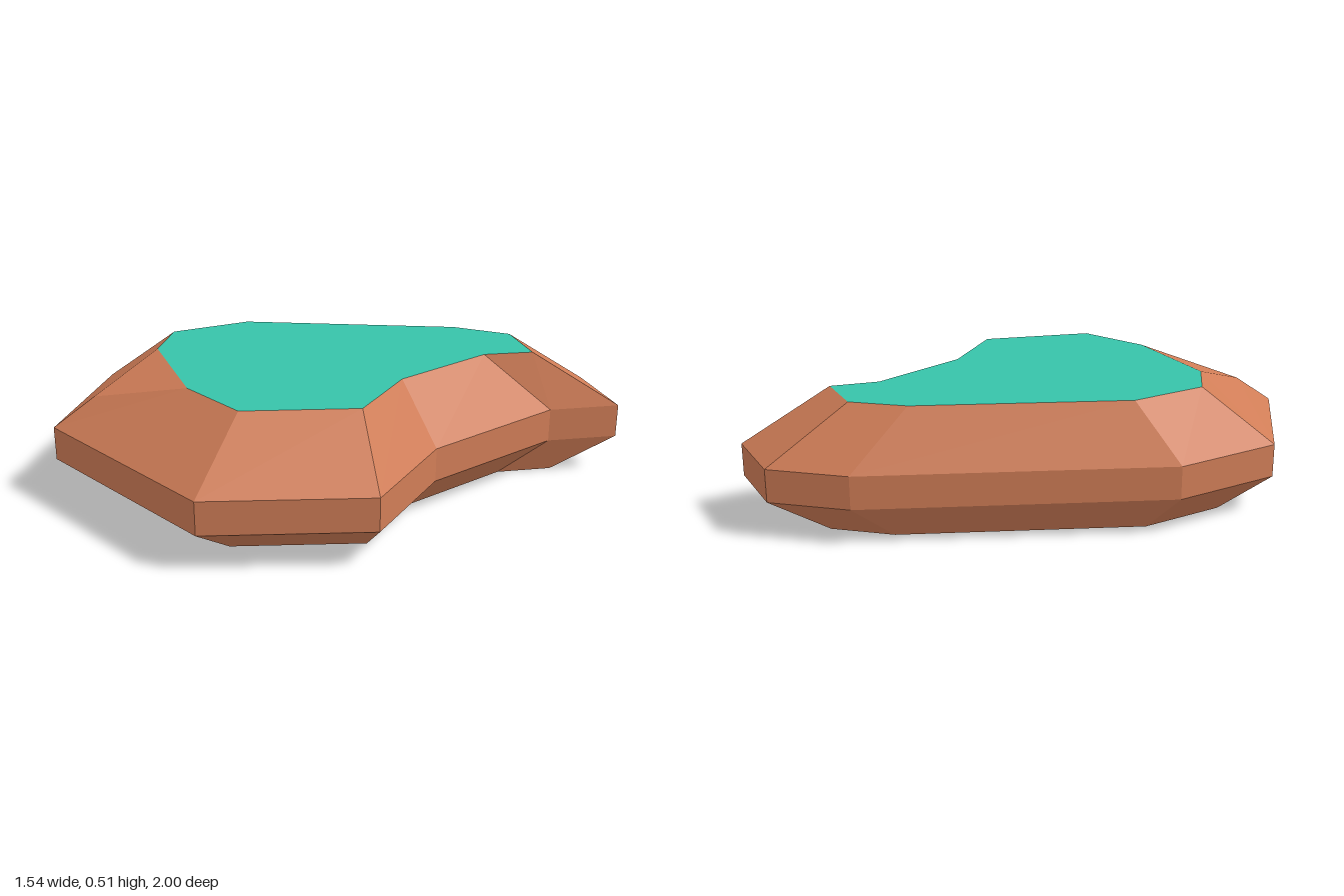
import * as THREE from 'three';

const BOTTOM = 0, LOW = 0.15, HIGH = 0.285, TOP = 0.51, FOOT_SCALE = 0.78;

// Plan outline as [x, z], clockwise seen from above
const OUTLINE = [
  [0.43, -1], [0.72, -0.91], [0.59, -0.66], [0.59, -0.065], [0.77, 0.345],
  [0.41, 0.88], [-0.43, 1], [-0.77, 0.565], [-0.66, 0.13], [0.15, -0.82],
];
// Matching corners of the plateau; the front left corner (null) is chipped off
const RIM = [
  [0.3, -0.695], [0.5, -0.63], [0.405, -0.46], [0.405, -0.045], [0.53, 0.24],
  [0.285, 0.61], null, [-0.535, 0.39], [-0.455, 0.085], [0.105, -0.565],
];
const CHIPPED = 6;
const CHIP_RIM = [[0, 0.65], [-0.41, 0.54]];
const CHIP_TIP = new THREE.Vector3(-0.365, 0.4, 0.85);

const at = (p, y) => new THREE.Vector3(p[0], y, p[1]);

// Flat-sided surface from convex polygons, each split as a fan
function facets(polygons) {
  const points = [];
  for (const p of polygons) {
    for (let i = 1; i < p.length - 1; i++) points.push(p[0], p[i], p[i + 1]);
  }
  const geometry = new THREE.BufferGeometry().setFromPoints(points);
  geometry.computeVertexNormals();
  return geometry;
}

// Band of quads between two closed rings
function band(lower, upper) {
  return lower.map((p, i) => {
    const n = (i + 1) % lower.length;
    return [lower[n], p, upper[i], upper[n]];
  });
}

// Horizontal cap facing up or down
function cap(points, y, up) {
  const s = up ? -1 : 1;
  const shape = new THREE.Shape(points.map(([x, z]) => new THREE.Vector2(x, s * z)));
  return new THREE.ShapeGeometry(shape).rotateX(s * Math.PI / 2).translate(0, y, 0);
}

export function createModel() {
  const group = new THREE.Group();
  const clay = new THREE.MeshStandardMaterial({ color: 0xd07d57, flatShading: true });
  clay.name = 'clay brown rock';
  const turf = new THREE.MeshStandardMaterial({ color: 0x37c3a9, flatShading: true });
  turf.name = 'teal turf';
  const add = (name, geometry, material) => {
    const mesh = new THREE.Mesh(geometry, material);
    mesh.name = name;
    group.add(mesh);
  };

  const footOutline = OUTLINE.map(([x, z]) => [x * FOOT_SCALE, z * FOOT_SCALE]);
  const foot = footOutline.map(p => at(p, BOTTOM));
  const low = OUTLINE.map(p => at(p, LOW));
  const high = OUTLINE.map(p => at(p, HIGH));
  const rim = RIM.map(p => p && at(p, TOP));
  const [chipRight, chipLeft] = CHIP_RIM.map(p => at(p, TOP));

  // Undercut and upright wall
  add('undercut', facets(band(foot, low)), clay);
  add('wall', facets(band(low, high)), clay);

  // Upper slope, with the chipped corner closed by three special faces
  const slope = band(high, rim).filter(q => !q.includes(null));
  const c = CHIPPED;
  slope.push(
    [high[c], high[c - 1], rim[c - 1], chipRight, CHIP_TIP],
    [high[c + 1], high[c], CHIP_TIP, chipLeft, rim[c + 1]],
    [CHIP_TIP, chipRight, chipLeft],
  );
  add('upperSlope', facets(slope), clay);

  // Flat top and underside
  add('turfTop', cap(RIM.flatMap(p => (p ? [p] : CHIP_RIM)), TOP, true), turf);
  add('underside', cap(footOutline, BOTTOM, false), clay);

  return group;
}
